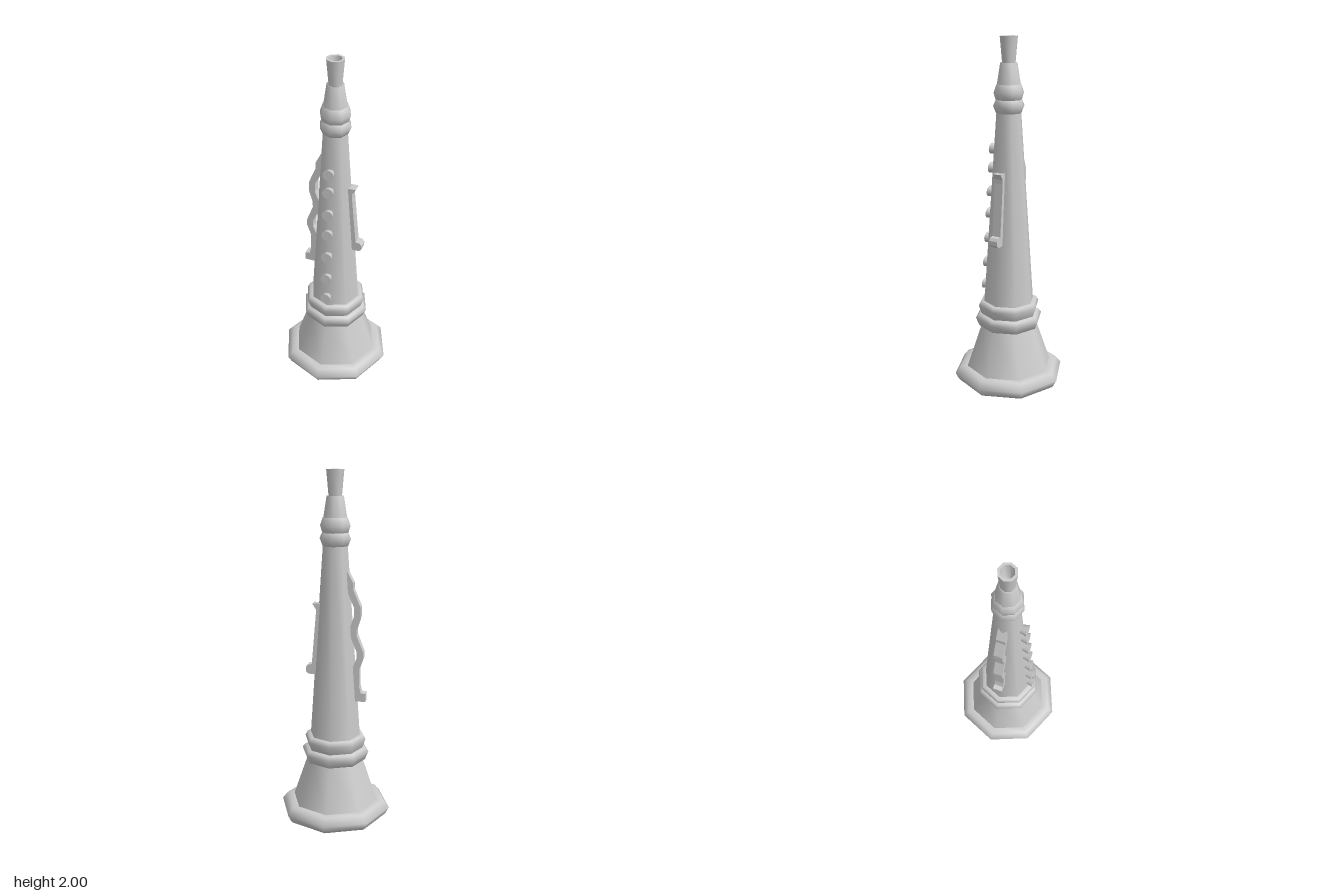
import * as THREE from 'three';

const material = new THREE.MeshStandardMaterial({ color: 0xcccccc });

export function createModel() {
  const group = new THREE.Group();

  const add = (name, geometry) => {
    const mesh = new THREE.Mesh(geometry, material);
    mesh.name = name;
    group.add(mesh);
    return mesh;
  };

  // Eight-sided turned part from [radius, height] pairs
  const turn = (name, profile) =>
    add(name, new THREE.LatheGeometry(profile.map(([r, y]) => new THREE.Vector2(r, y)), 8));

  // Bell with its flared rim and hollow inside
  turn('bellRim', [[0.25, 0.01], [0.285, 0.005], [0.305, 0.01], [0.325, 0.05], [0.293, 0.09], [0.25, 0.09]]);
  turn('bellRimUnderside', [[0.24, 0.06], [0.25, 0.0], [0.295, 0.0], [0.305, 0.01]]);
  turn('bell', [[0.255, 0.08], [0.163, 0.35]]);
  turn('bellInside', [[0, 0.6], [0.11, 0.5], [0.15, 0.345], [0.24, 0.06]]);

  // Double collar above the bell
  turn('lowerCollar', [[0.155, 0.345], [0.178, 0.345], [0.198, 0.395], [0.18, 0.415], [0.16, 0.42]]);
  turn('upperCollar', [[0.15, 0.415], [0.162, 0.415], [0.18, 0.47], [0.168, 0.495], [0.14, 0.495]]);

  // Tapered body
  turn('body', [[0.147, 0.48], [0.069, 1.61]]);

  // Barrel rings and neck
  turn('lowerBarrelRing', [[0.06, 1.59], [0.072, 1.59], [0.088, 1.63], [0.073, 1.665], [0.06, 1.665]]);
  turn('upperBarrelRing', [[0.06, 1.66], [0.073, 1.66], [0.085, 1.70], [0.07, 1.745], [0.055, 1.745]]);
  turn('neck', [[0.068, 1.735], [0.048, 1.86], [0.03, 1.86]]);

  // Mouthpiece with a bored top
  turn('mouthpiece', [[0.037, 1.855], [0.05, 2.0]]);
  turn('mouthpieceLip', [[0.05, 2.0], [0.036, 2.0]]);
  turn('mouthpieceBore', [[0.036, 2.0], [0.026, 1.9], [0, 1.89]]);

  // Finger buttons down the front, flaring outwards
  [1.38, 1.27, 1.13, 1.0, 0.85, 0.7, 0.56].forEach((y, i) => {
    const surface = 0.147 - (y - 0.48) * 0.069;
    const button = add(`button${i + 1}`, new THREE.CylinderGeometry(0.032, 0.021, 0.045, 12));
    button.rotation.x = Math.PI / 2 - 0.07;
    button.position.set(0, y, surface + 0.005);
  });

  // Flat side levers: outlines extruded across z
  const lever = (name, outline) => {
    const shape = new THREE.Shape(outline.map(([x, y]) => new THREE.Vector2(x, y)));
    const geometry = new THREE.ExtrudeGeometry(shape, { depth: 0.052, bevelEnabled: false });
    geometry.translate(0, 0, -0.026);
    add(name, geometry);
  };

  lever('rightWavyLever', [
    [-0.07, 1.46], [-0.106, 1.39], [-0.106, 1.355], [-0.148, 1.255], [-0.148, 1.2],
    [-0.127, 1.13], [-0.127, 1.095], [-0.164, 1.0], [-0.164, 0.96], [-0.143, 0.9],
    [-0.143, 0.8], [-0.153, 0.757], [-0.18, 0.754], [-0.18, 0.706], [-0.122, 0.706],
    [-0.106, 0.8], [-0.106, 0.907], [-0.127, 0.96], [-0.127, 1.0], [-0.09, 1.09],
    [-0.09, 1.14], [-0.111, 1.2], [-0.111, 1.255], [-0.069, 1.35],
  ]);

  lever('leftLever', [
    [0.075, 1.267], [0.127, 1.267], [0.106, 1.235], [0.106, 1.21], [0.132, 0.913],
    [0.156, 0.91], [0.167, 0.894], [0.167, 0.87], [0.153, 0.855], [0.116, 0.855],
    [0.1, 0.87], [0.075, 1.235],
  ]);

  return group;
}
